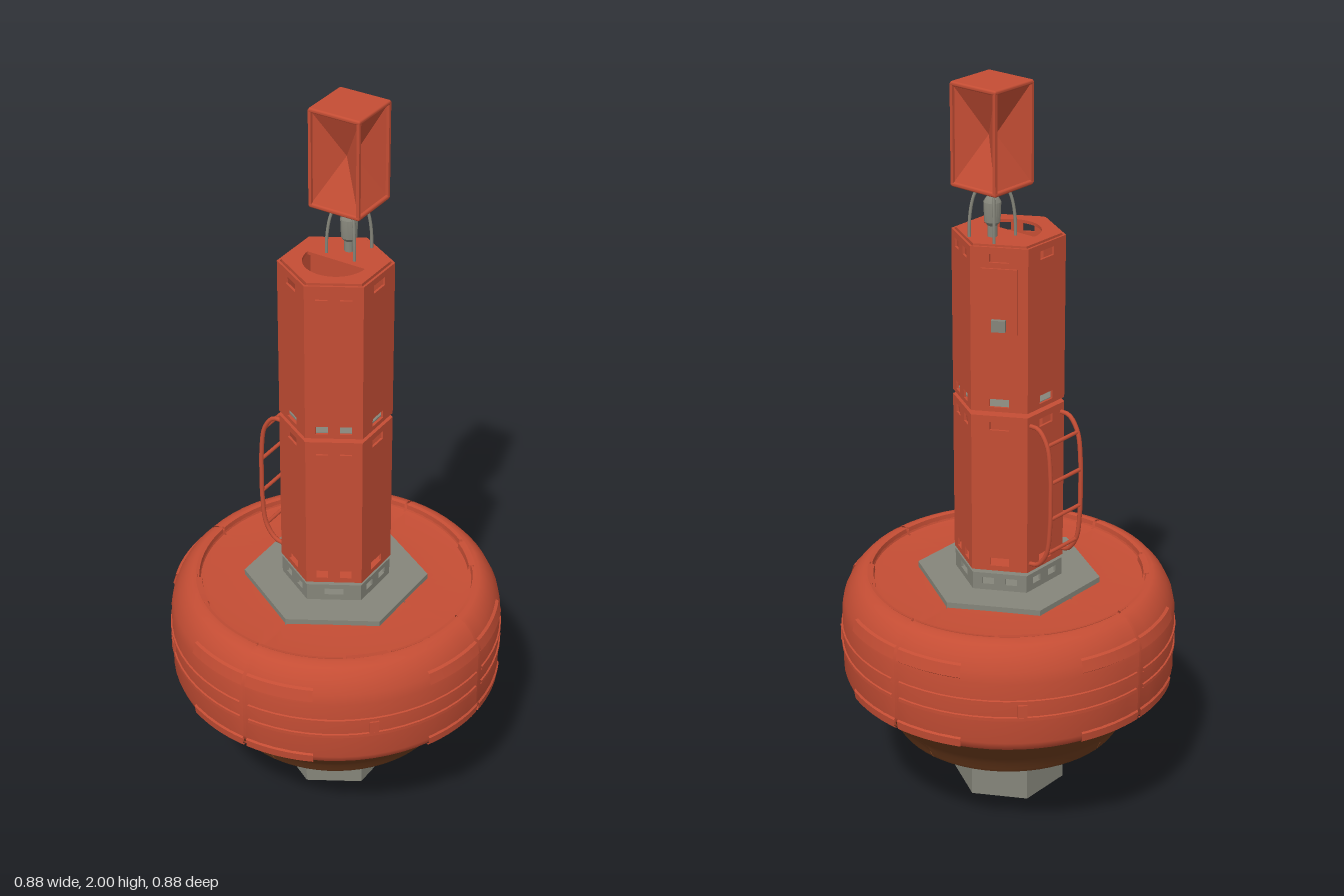
import * as THREE from 'three';
import { toCreasedNormals } from 'three/addons/utils/BufferGeometryUtils.js';
import { RoundedBoxGeometry } from 'three/addons/geometries/RoundedBoxGeometry.js';

const material = (name, color, extra = {}) => {
  const m = new THREE.MeshStandardMaterial({ color, ...extra });
  m.name = name;
  return m;
};

export function createModel() {
  const model = new THREE.Group();
  model.name = 'buoy';
  const red = material('buoy red', 0xc44d34, { side: THREE.DoubleSide });
  const brown = material('antifouling brown', 0x6b3a1c, { side: THREE.DoubleSide });
  const grey = material('steel grey', 0x85857a);

  function add(name, geo, mat, x = 0, y = 0, z = 0, parent = model) {
    const mesh = new THREE.Mesh(geo, mat);
    mesh.name = name;
    mesh.position.set(x, y, z);
    parent.add(mesh);
    return mesh;
  }
  const lathe = (pts, segs, start = 0, length = Math.PI * 2) => toCreasedNormals(
    new THREE.LatheGeometry(pts.map(p => new THREE.Vector2(...p)), segs, start, length), 0.6);
  const hex = (rTop, rBottom, h) => toCreasedNormals(new THREE.CylinderGeometry(rTop, rBottom, h, 6), 0.3);
  const tube = (pts, r, segs = 24) => new THREE.TubeGeometry(
    new THREE.CatmullRomCurve3(pts.map(p => new THREE.Vector3(...p))), segs, r, 8);

  // Float: four shells separated by narrow seams over a slightly smaller core
  const hull = [[0.41, 0.375], [0.432, 0.392], [0.438, 0.41], [0.438, 0.58], [0.432, 0.61], [0.415, 0.645],
    [0.395, 0.668], [0.38, 0.675], [0.368, 0.675], [0.362, 0.66], [0.34, 0.656], [0.2, 0.66]];
  const bowl = [[0, 0.24], [0.3, 0.24], [0.308, 0.252], [0.318, 0.275], [0.345, 0.305], [0.38, 0.34], [0.41, 0.375]];
  const shrink = pts => pts.map(([r, y]) => [Math.max(0, r - 0.006), y + (y > 0.5 ? -0.006 : 0.006)]);
  add('floatCore', lathe(shrink(hull), 64), red);
  add('bowlCore', lathe(shrink(bowl), 64), brown);
  const seam = 0.009, quarter = Math.PI / 2;
  for (let i = 0; i < 4; i++) {
    const a = i * quarter;
    add('floatShell', lathe(hull, 16, a + seam, quarter - 2 * seam), red);
    add('floatBowl', lathe(bowl, 16, a + seam / 2, quarter - seam), brown);
    // Raised belt strips with a small lug on each diagonal
    for (const [y0, y1] of [[0.475, 0.488], [0.522, 0.535]]) {
      add('beltStrip', lathe([[0.437, y0], [0.442, y0 + 0.002], [0.442, y1 - 0.002], [0.437, y1]],
        16, a + 0.03, quarter - 0.06), red);
    }
    const d = a + quarter / 2;
    const lug = add('beltLug', new THREE.BoxGeometry(0.025, 0.034, 0.012), red,
      0.438 * Math.sin(d), 0.505, 0.438 * Math.cos(d));
    lug.rotation.y = d;
    // Long pads above and below the belt, centred on each seam
    for (const s of [-1, 1]) {
      const start = s < 0 ? a - 0.43 : a + 0.012;
      add('upperPad', lathe([[0.435, 0.587], [0.441, 0.592], [0.433, 0.622], [0.425, 0.625]], 8, start, 0.418), red);
      add('lowerPad', lathe([[0.428, 0.386], [0.439, 0.392], [0.442, 0.415], [0.437, 0.42]], 8, start, 0.418), red);
    }
    // Inner lip of the top rim, widened at each diagonal
    add('rimLip', lathe([[0.352, 0.657], [0.354, 0.674], [0.37, 0.677]], 8, d - 0.15, 0.3), red);
    add('rimStrip', lathe([[0.359, 0.657], [0.361, 0.676], [0.37, 0.678]], 12, a + 0.012, 0.6), red);
    add('rimStrip', lathe([[0.359, 0.657], [0.361, 0.676], [0.37, 0.678]], 12, a - 0.612, 0.6), red);
  }

  // Hexagonal clamp plates and keel with mooring eye
  add('topPlate', hex(0.242, 0.242, 0.02), grey, 0, 0.664, 0);
  add('bottomPlate', hex(0.242, 0.242, 0.015), grey, 0, 0.24, 0);
  add('keel', hex(0.15, 0.15, 0.19), grey, 0, 0.148, 0);
  add('mooringEye', new THREE.TorusGeometry(0.026, 0.008, 10, 28), grey, 0, 0.034, 0);

  // Hollow hexagonal drum made of six slotted panels
  function drum(name, apothem, y0, y1, slotRows, slotH, isDouble, mat) {
    const group = new THREE.Group();
    group.name = name;
    model.add(group);
    const w = apothem * Math.tan(Math.PI / 6), t = 0.006;
    for (let i = 0; i < 6; i++) {
      const shape = new THREE.Shape();
      shape.moveTo(-w, y0).lineTo(w, y0).lineTo(w, y1).lineTo(-w, y1).closePath();
      const slots = isDouble(i) ? [[-0.03, 0.015], [0.03, 0.015]] : [[0, 0.025]];
      for (const y of slotRows) for (const [x, hw] of slots) {
        const hole = new THREE.Path();
        hole.moveTo(x - hw, y - slotH).lineTo(x - hw, y + slotH).lineTo(x + hw, y + slotH)
          .lineTo(x + hw, y - slotH).closePath();
        shape.holes.push(hole);
      }
      const geo = new THREE.ExtrudeGeometry(shape, { depth: t, bevelEnabled: false });
      geo.translate(0, 0, apothem - t);
      add('slottedPanel', geo, mat, 0, 0, 0, group).rotation.y = Math.PI / 6 + i * Math.PI / 3;
    }
  }
  const pairs = i => i === 0 || i === 2;
  drum('neck', 0.122, 0.672, 0.722, [0.7], 0.009, i => !pairs(i), grey);
  drum('lowerTower', 0.124, 0.732, 1.165, [0.757, 1.137], 0.011, pairs, red);
  drum('upperTower', 0.124, 1.177, 1.608, [1.2, 1.58], 0.011, pairs, red);

  // Floors, lids and the narrow joints between the sections
  add('neckLid', hex(0.138, 0.138, 0.005), grey, 0, 0.7195, 0);
  add('lowerJoint', hex(0.045, 0.045, 0.014), grey, 0, 0.727, 0);
  add('lowerFloor', hex(0.138, 0.138, 0.005), red, 0, 0.7345, 0);
  add('lowerLid', hex(0.138, 0.138, 0.005), red, 0, 1.1625, 0);
  add('upperJoint', hex(0.045, 0.045, 0.016), red, 0, 1.171, 0);
  add('upperFloor', hex(0.138, 0.138, 0.005), red, 0, 1.1795, 0);
  add('innerDeck', hex(0.128, 0.128, 0.004), grey, 0, 1.184, 0);

  // Tower top with a half-round opening
  const lid = new THREE.Shape();
  for (let i = 0; i < 6; i++) {
    const a = Math.PI / 2 + i * Math.PI / 3;
    lid[i ? 'lineTo' : 'moveTo'](0.132 * Math.cos(a), 0.132 * Math.sin(a));
  }
  lid.closePath();
  const opening = new THREE.Path();
  opening.absarc(0, 0, 0.082, Math.PI, 2 * Math.PI, false);
  opening.closePath();
  lid.holes.push(opening);
  const lidGeo = new THREE.ExtrudeGeometry(lid, { depth: 0.008, bevelEnabled: false, curveSegments: 24 });
  add('upperLid', lidGeo.rotateX(-Math.PI / 2), red, 0, 1.604, 0);

  // Service hatch on the rear right panel
  const hatch = new THREE.Group();
  hatch.name = 'serviceHatch';
  hatch.rotation.y = Math.PI * 7 / 6;
  model.add(hatch);
  add('hatchDoor', new THREE.BoxGeometry(0.09, 0.17, 0.006), red, 0, 1.47, 0.126, hatch);
  add('hatchLatch', new THREE.BoxGeometry(0.035, 0.03, 0.016), grey, 0, 1.41, 0.132, hatch);

  // Ladder on the right side
  for (const z of [-0.06, 0.06]) {
    add('ladderRail', tube([[-0.12, 1.14, z], [-0.15, 1.138, z], [-0.178, 1.1, z], [-0.189, 1.02, z],
      [-0.19, 0.95, z], [-0.189, 0.88, z], [-0.178, 0.8, z], [-0.15, 0.762, z], [-0.12, 0.755, z]], 0.006, 40), red);
  }
  for (const [x, y] of [[-0.178, 0.8], [-0.189, 0.9], [-0.189, 1.0], [-0.178, 1.1]]) {
    add('ladderRung', new THREE.CylinderGeometry(0.005, 0.005, 0.12, 8), red, x, y).rotation.x = Math.PI / 2;
  }

  // Lamp and its curved legs
  const cz = -0.06;
  add('lamp', lathe([[0, 1.608], [0.012, 1.608], [0.012, 1.64], [0.02, 1.65], [0.022, 1.7], [0.016, 1.71],
    [0.012, 1.715], [0.012, 1.75], [0, 1.75]], 20), grey, 0, 0, cz);
  for (const sx of [-1, 1]) for (const sz of [-1, 1]) {
    add('lampLeg', tube([[sx * 0.04, 1.605, cz + sz * 0.04], [sx * 0.039, 1.66, cz + sz * 0.039],
      [sx * 0.033, 1.71, cz + sz * 0.033], [sx * 0.022, 1.745, cz + sz * 0.022]], 0.004), grey);
  }

  // Radar reflector: end plates, corner posts and four inward pyramids
  const reflector = new THREE.Group();
  reflector.name = 'radarReflector';
  reflector.position.set(0, 1.87, cz);
  model.add(reflector);
  for (const s of [-1, 1]) {
    add('endPlate', new RoundedBoxGeometry(0.143, 0.012, 0.143, 3, 0.005), red, 0, s * 0.124, 0, reflector);
    for (const t of [-1, 1]) {
      add('cornerPost', new THREE.BoxGeometry(0.008, 0.25, 0.008), red, s * 0.067, 0, t * 0.067, reflector);
    }
  }
  const w = 0.065, h = 0.119, tip = [0, 0, 0.012];
  const corners = [[-w, -h, w], [w, -h, w], [w, h, w], [-w, h, w]];
  const pyramid = new THREE.BufferGeometry();
  pyramid.setAttribute('position', new THREE.Float32BufferAttribute(
    corners.flatMap((c, i) => [...c, ...corners[(i + 1) % 4], ...tip]), 3));
  pyramid.computeVertexNormals();
  for (let i = 0; i < 4; i++) add('reflectorPocket', pyramid, red, 0, 0, 0, reflector).rotation.y = i * quarter;

  return model;
}
